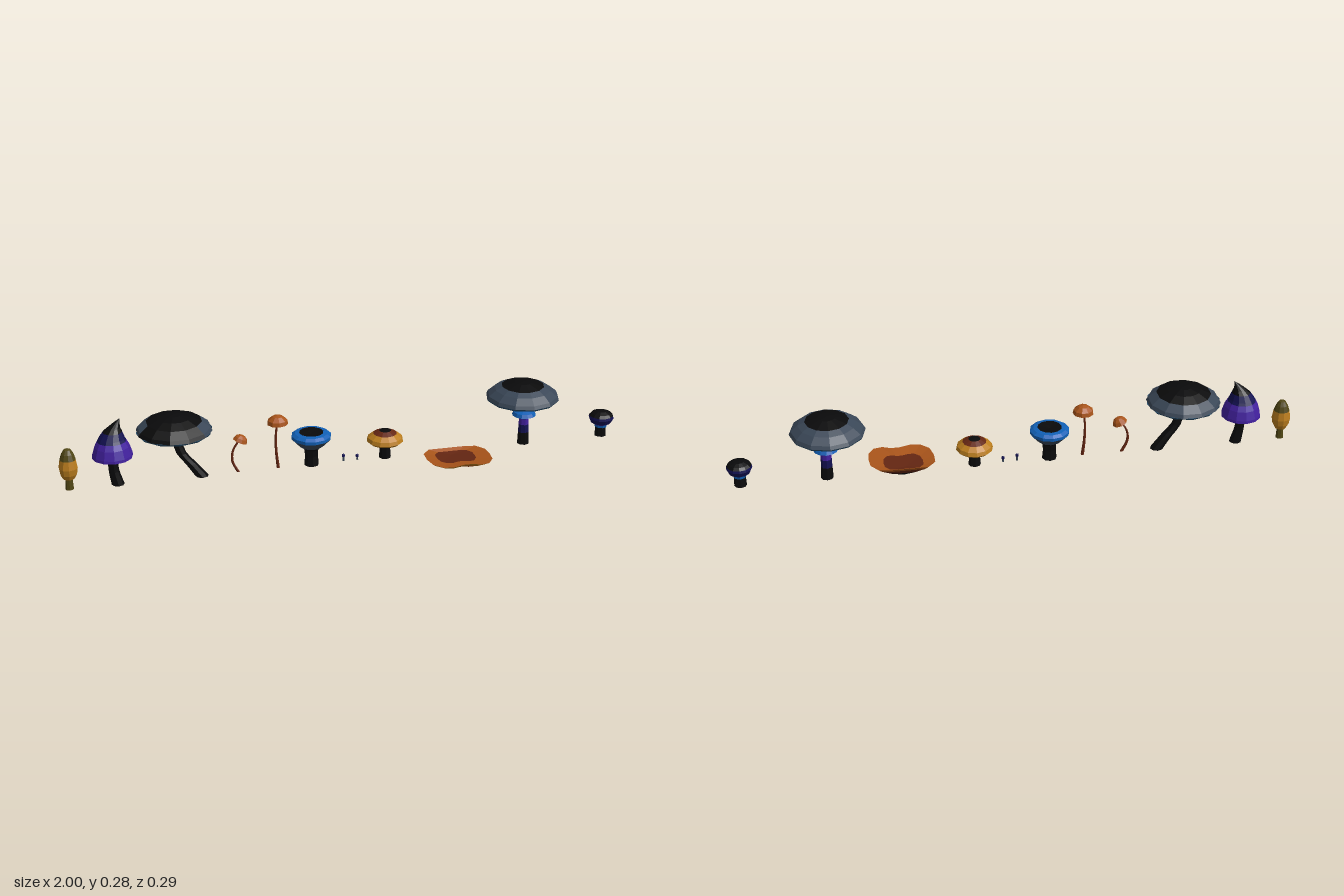
import * as THREE from 'three';

const mat = (name, color) => new THREE.MeshStandardMaterial({ name, color, flatShading: true, side: THREE.DoubleSide });
const M = {
  black: mat('black', 0x0a0a0b), slate: mat('slate', 0x3a4757), teal: mat('deepTeal', 0x2a4e6a),
  purple: mat('purple', 0x42209f), navy: mat('navy', 0x131152), blue: mat('blue', 0x1160b6),
  ochre: mat('ochre', 0xbc7e1e), rust: mat('rust', 0xa8541a), darkRust: mat('darkRust', 0x642612),
  olive: mat('olive', 0x504614),
};
const Z = -0.017; // the row stands on this line
const BASE = 0.04;

// turned band from [radius, height] points, listed from the bottom up
function band(name, material, pts, sides = 12, from = 0, sweep = Math.PI * 2) {
  const g = new THREE.LatheGeometry(pts.map(([r, y]) => new THREE.Vector2(r, y)), sides, from, sweep);
  const m = new THREE.Mesh(g, material);
  m.name = name;
  return m;
}

// tapering stem swept along its centre line: points are [x, y, radius]
function stem(name, material, pts, sides = 8, rows = 8) {
  const curve = new THREE.CatmullRomCurve3(pts.map(([x, y]) => new THREE.Vector3(x, y, 0)));
  const g = new THREE.CylinderGeometry(1, 1, 1, sides, rows);
  const p = g.attributes.position;
  for (let i = 0; i < p.count; i++) {
    const t = p.getY(i) + 0.5;
    const c = curve.getPoint(t);
    const f = t * (pts.length - 1);
    const k = Math.min(Math.floor(f), pts.length - 2);
    const r = THREE.MathUtils.lerp(pts[k][2], pts[k + 1][2], f - k);
    p.setXYZ(i, c.x + p.getX(i) * r, c.y, p.getZ(i) * r);
  }
  g.computeVertexNormals();
  const m = new THREE.Mesh(g, material);
  m.name = name;
  return m;
}

function mushroom(name, x, ...parts) {
  const g = new THREE.Group();
  g.name = name;
  g.position.set(x, 0, Z);
  g.add(...parts);
  return g;
}

// pointed hat: bands bent sideways towards the tip
function bend(mesh, y0, k) {
  const p = mesh.geometry.attributes.position;
  for (let i = 0; i < p.count; i++) {
    const d = Math.max(0, p.getY(i) - y0);
    p.setX(i, p.getX(i) + k * d * d);
  }
  mesh.geometry.computeVertexNormals();
  return mesh;
}

// bracket fungus: a lobed rim joined to rings above and below
function bracket() {
  const rim = [[-0.085, -0.022], [-0.113, 0.01], [-0.115, 0.06], [-0.105, 0.11], [-0.075, 0.141], [-0.04, 0.145], [0, 0.132],
    [0.03, 0.132], [0.06, 0.145], [0.09, 0.138], [0.112, 0.105], [0.116, 0.06], [0.113, 0.02], [0.088, -0.015], [0.05, -0.022], [-0.04, -0.022]];
  const ring = (s, y, cx, cz) => rim.map(([x, z]) => [cx + (x - cx) * s, y, cz + (z - cz) * s]);
  // strip between two rings, over the rim segments that pass the test
  const surface = (name, material, a, b, keep = () => true) => {
    const v = [];
    a.forEach((p, i) => {
      const j = (i + 1) % a.length;
      if (keep(i)) v.push(...p, ...a[j], ...b[i], ...a[j], ...b[j], ...b[i]);
    });
    const g = new THREE.BufferGeometry();
    g.setAttribute('position', new THREE.Float32BufferAttribute(v, 3));
    g.computeVertexNormals();
    const m = new THREE.Mesh(g, material);
    m.name = name;
    return m;
  };
  const isFront = (i) => i >= 1 && i <= 11;
  const edge = ring(1, 0.047, 0, 0.03);
  const lip = ring(0.86, 0.036, 0, 0.03);
  const inner = ring(0.6, 0.04, -0.01, 0.015);
  const under = ring(0.5, 0.016, 0, 0.03);
  const g = new THREE.Group();
  g.name = 'bracketMushroom';
  g.position.x = 0.39;
  g.add(
    surface('bracketTop', M.rust, edge, inner),
    surface('bracketCentre', M.darkRust, inner, ring(0, 0.036, -0.01, 0.015)),
    surface('bracketLip', M.ochre, lip, edge, isFront),
    surface('bracketBackLip', M.rust, lip, edge, (i) => !isFront(i)),
    surface('bracketUnderside', M.rust, under, lip, isFront),
    surface('bracketBack', M.darkRust, under, lip, (i) => !isFront(i)),
    surface('bracketRoot', M.black, ring(0, 0, 0, 0.02), under),
  );
  return g;
}

export function createModel() {
  const root = new THREE.Group();
  root.name = 'mushroomRow';
  const D = Math.PI / 180;

  // egg-shaped cap
  root.add(mushroom('eggMushroom', -0.967,
    stem('eggStem', M.olive, [[0, BASE, 0.015], [0, 0.084, 0.012]]),
    band('eggMiddle', M.ochre, [[0, 0.077], [0.02, 0.08], [0.029, 0.097], [0.033, 0.12], [0.028, 0.15]], 10),
    band('eggTip', M.olive, [[0.028, 0.15], [0.021, 0.171], [0.012, 0.186], [0, 0.19]], 10)));

  // bent pointed hat
  root.add(mushroom('hatMushroom', -0.816,
    stem('hatStem', M.black, [[0.014, BASE, 0.022], [0.003, 0.09, 0.018], [0, 0.125, 0.017]]),
    stem('hatStemTop', M.purple, [[0, 0.125, 0.017], [0, 0.19, 0.015]]),
    band('hatUnderside', M.purple, [[0, 0.19], [0.045, 0.165], [0.07, 0.145]]),
    band('hatBrim', M.purple, [[0.07, 0.145], [0.069, 0.155], [0.06, 0.185], [0.05, 0.204]]),
    bend(band('hatMiddle', M.navy, [[0.05, 0.204], [0.045, 0.213], [0.033, 0.236]]), 0.21, 6),
    bend(band('hatTip', M.black, [[0.033, 0.236], [0.022, 0.25], [0.01, 0.268], [0, 0.283]]), 0.21, 6)));

  // wide cap on a leaning stem, dark towards the front
  const wideRim = [[0.131, 0.22], [0.125, 0.232], [0.096, 0.254]];
  const wideUnder = [[0, 0.226], [0.07, 0.219], [0.126, 0.213], [0.131, 0.22]];
  root.add(mushroom('leaningMushroom', -0.602,
    stem('leaningStem', M.black, [[0.09, BASE, 0.023], [0.058, 0.085, 0.02], [0.018, 0.14, 0.017], [0.004, 0.225, 0.014]]),
    band('leaningUnderside', M.teal, wideUnder),
    band('leaningRim', M.slate, wideRim, 8, 45 * D, 240 * D),
    band('leaningDarkRim', M.black, wideRim, 4, -75 * D, 120 * D),
    band('leaningTop', M.black, [[0.096, 0.254], [0.06, 0.269], [0.025, 0.277], [0, 0.279]], 12, 45 * D)));

  // two slender ones
  const tilted = new THREE.Group();
  tilted.name = 'tiltedCap';
  tilted.position.set(0.001, 0.155, 0);
  tilted.rotation.z = -0.4;
  tilted.add(
    band('tiltedUnderside', M.ochre, [[0, 0.008], [0.027, 0]], 8),
    band('tiltedTop', M.rust, [[0.027, 0], [0.022, 0.013], [0.011, 0.021], [0, 0.023]], 8));
  root.add(mushroom('curvedSlenderMushroom', -0.377,
    stem('curvedStem', M.darkRust, [[-0.008, BASE, 0.006], [-0.027, 0.08, 0.005], [-0.025, 0.12, 0.004], [0, 0.162, 0.004]], 6, 10), tilted));
  root.add(mushroom('tallSlenderMushroom', -0.243,
    stem('tallStem', M.darkRust, [[0, BASE, 0.006], [-0.006, 0.1, 0.005], [-0.007, 0.16, 0.004], [0, 0.217, 0.004]], 6, 10),
    band('tallUnderside', M.ochre, [[0, 0.217], [0.037, 0.207]], 9),
    band('tallTop', M.rust, [[0.037, 0.207], [0.034, 0.221], [0.018, 0.234], [0, 0.239]], 9)));

  // funnel cap
  root.add(mushroom('funnelMushroom', -0.124,
    stem('funnelStem', M.black, [[0, BASE, 0.026], [0, 0.075, 0.023], [0, 0.12, 0.027]]),
    band('funnelNeck', M.black, [[0.024, 0.098], [0.036, 0.109]]),
    band('funnelUnderside', M.slate, [[0.036, 0.109], [0.048, 0.118], [0.07, 0.142]]),
    band('funnelRim', M.blue, [[0.07, 0.142], [0.07, 0.153], [0.058, 0.161], [0.043, 0.163]]),
    band('funnelTop', M.black, [[0.043, 0.163], [0.02, 0.16], [0, 0.157]])));

  // two tiny sprouts
  for (const [x, h] of [[-0.009, 0.068], [0.041, 0.062]]) {
    root.add(mushroom('tinySprout', x,
      stem('sproutStem', M.slate, [[0, BASE, 0.004], [0, h - 0.006, 0.003]], 5, 1),
      band('sproutCap', M.navy, [[0, h - 0.01], [0.006, h - 0.011], [0.005, h - 0.003], [0, h]], 6)));
  }

  // round button cap
  root.add(mushroom('buttonMushroom', 0.142,
    stem('buttonStem', M.black, [[0, BASE, 0.022], [0, 0.075, 0.019], [0, 0.115, 0.018]]),
    band('buttonUnderside', M.ochre, [[0, 0.115], [0.035, 0.108], [0.055, 0.096], [0.065, 0.105]]),
    band('buttonRim', M.ochre, [[0.065, 0.105], [0.061, 0.118], [0.042, 0.132]]),
    band('buttonRing', M.darkRust, [[0.042, 0.132], [0.021, 0.142]]),
    band('buttonTop', M.black, [[0.021, 0.142], [0, 0.145]])));

  root.add(bracket());

  // wide cap with a skirt
  const sx = 0.009;
  const skirt = new THREE.Group();
  skirt.name = 'skirtRing';
  skirt.position.x = sx;
  skirt.add(
    band('skirtUnderside', M.blue, [[0.018, 0.138], [0.043, 0.15]]),
    band('skirtTop', M.blue, [[0.043, 0.15], [0.037, 0.162], [0.018, 0.169]]));
  root.add(mushroom('skirtedMushroom', 0.648,
    stem('skirtedStem', M.black, [[sx, BASE, 0.022], [sx, 0.085, 0.02]]),
    stem('skirtedStemMiddle', M.navy, [[sx, 0.085, 0.02], [sx, 0.115, 0.019]]),
    stem('skirtedStemTop', M.purple, [[sx, 0.115, 0.019], [sx, 0.15, 0.018]]),
    stem('skirtedNeck', M.navy, [[sx, 0.15, 0.018], [sx, 0.225, 0.017]]),
    skirt,
    band('skirtedUnderside', M.teal, wideUnder),
    band('skirtedRim', M.slate, [[0.131, 0.22], [0.125, 0.232], [0.1, 0.252], [0.076, 0.264]]),
    band('skirtedTop', M.black, [[0.076, 0.264], [0.03, 0.276], [0, 0.279]])));

  // small dark cap
  root.add(mushroom('smallMushroom', 0.954,
    stem('smallStem', M.black, [[0, BASE, 0.022], [0, 0.074, 0.02]]),
    stem('smallCollar', M.blue, [[0, 0.074, 0.022], [0, 0.084, 0.024]], 8, 1),
    band('smallUnderside', M.purple, [[0.022, 0.083], [0.037, 0.092]]),
    band('smallRim', M.navy, [[0.037, 0.092], [0.045, 0.109], [0.043, 0.118]]),
    band('smallTop', M.black, [[0.043, 0.118], [0.035, 0.127], [0.018, 0.134], [0, 0.136]])));

  return root;
}
